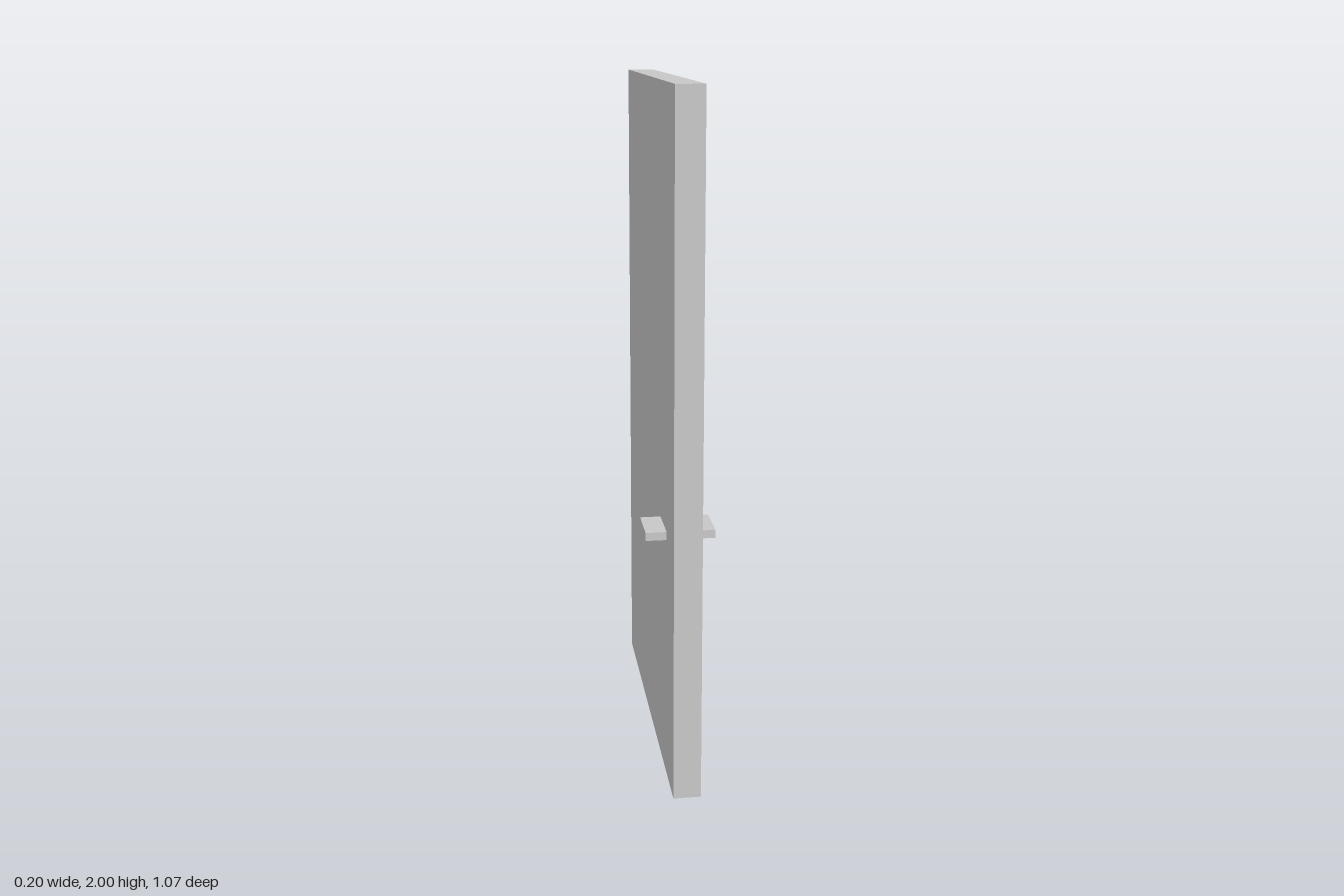
import * as THREE from 'three';

export function createModel() {
  const door = new THREE.Group();
  door.name = 'door';
  const material = new THREE.MeshStandardMaterial({ color: 0xcccccc, flatShading: true });

  function addBox(name, size, position) {
    const mesh = new THREE.Mesh(new THREE.BoxGeometry(...size), material);
    mesh.name = name;
    mesh.position.set(...position);
    door.add(mesh);
  }

  // Plain slab
  addBox('doorPanel', [0.08, 2, 1.066], [0, 1, 0]);

  // Flat handle bar passing through the slab and sticking out on both sides
  addBox('handle', [0.2, 0.024, 0.133], [0, 0.746, 0.319]);

  return door;
}
